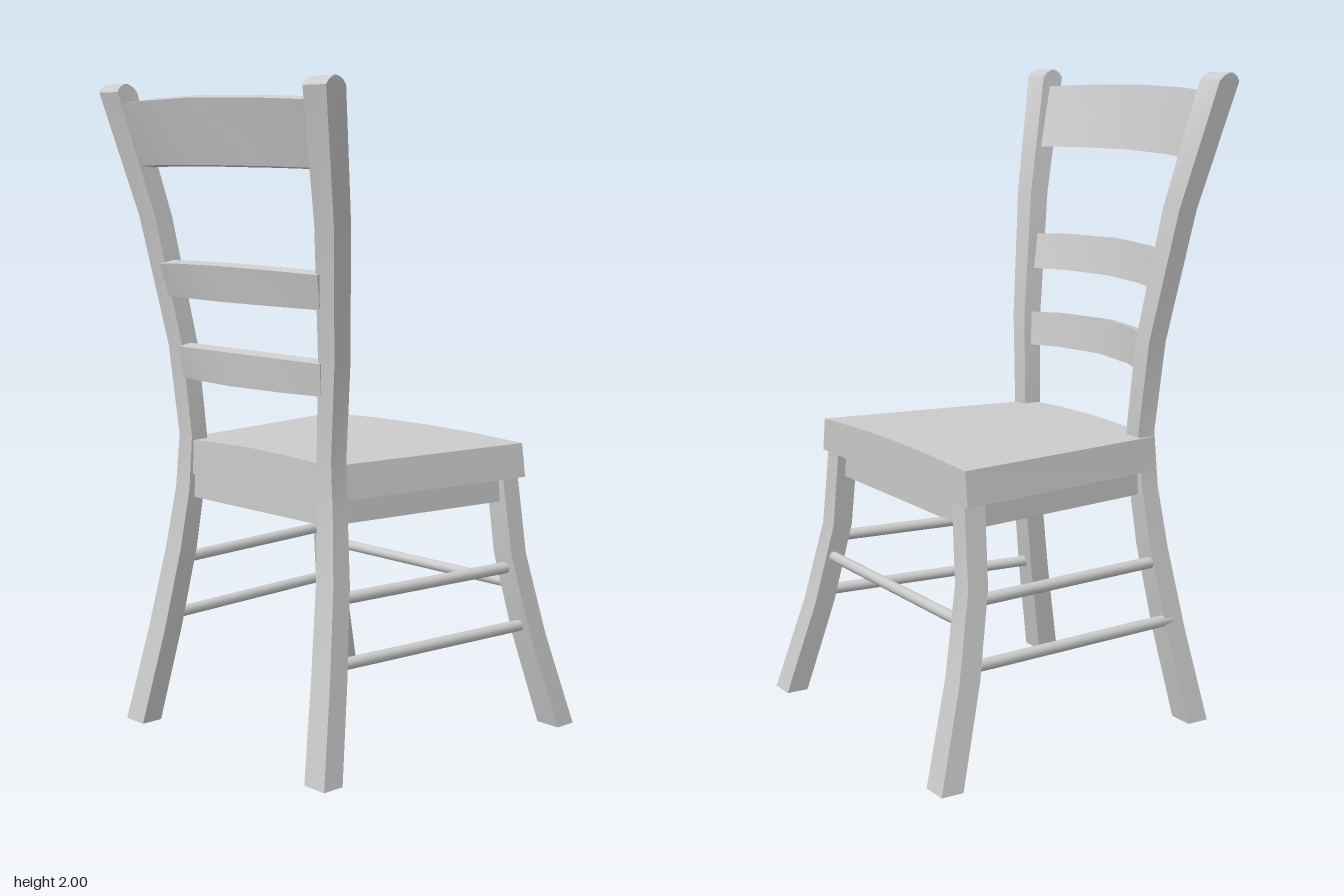
import * as THREE from 'three';
import { toCreasedNormals } from 'three/addons/utils/BufferGeometryUtils.js';

const grey = new THREE.MeshStandardMaterial({ color: 0xcccccc });
const V = (x, y, z) => new THREE.Vector3(x, y, z);

// Solid through a row of four-cornered cross-sections (counter-clockwise seen from the far end)
function loft(name, rings) {
  const p = [];
  const quad = (a, b, c, d) => [a, b, c, a, c, d].forEach(v => p.push(v.x, v.y, v.z));
  for (let i = 0; i < rings.length - 1; i++) {
    for (let j = 0; j < 4; j++) {
      const k = (j + 1) % 4;
      quad(rings[i][j], rings[i][k], rings[i + 1][k], rings[i + 1][j]);
    }
  }
  quad(...[...rings[0]].reverse());
  quad(...rings[rings.length - 1]);
  const geo = new THREE.BufferGeometry();
  geo.setAttribute('position', new THREE.Float32BufferAttribute(p, 3));
  const mesh = new THREE.Mesh(toCreasedNormals(geo, 0.5), grey);
  mesh.name = name;
  return mesh;
}

// Upright part from rows of [y, inner x, outer x, low z, high z]
function upright(name, side, shift, rows) {
  return loft(name, rows.map(([y, xi, xo, z0, z1]) => {
    const x0 = shift + (side > 0 ? xi : -xo);
    const x1 = shift + (side > 0 ? xo : -xi);
    return [V(x1, y, z1), V(x1, y, z0), V(x0, y, z0), V(x0, y, z1)];
  }));
}

// Tapered slab: half widths at front and back, for bottom and top, with a slight crown
function slab(name, y0, y1, zf, zb, bottom, top, crown) {
  const us = [-1, -0.5, 0, 0.5, 1];
  return loft(name, us.map(u => {
    const y = y1 + crown * (1 - u * u);
    return [V(u * top[1], y, zb), V(u * bottom[1], y0, zb),
      V(u * bottom[0], y0, zf), V(u * top[0], y, zf)];
  }));
}

// Bowed, leaning back rail
function rail(name, r) {
  return loft(name, [-1, -0.6, 0, 0.6, 1].map(u => {
    const bow = -r.bow * u * u;
    const xt = 0.01 + u * r.topHalf, xb = 0.01 + u * r.bottomHalf;
    const yt = r.y1 - r.drop * u * u, yb = r.y0 - r.drop * 0.5 * u * u;
    return [V(xt, yt - 0.008, r.zTop + bow), V(xb, yb, r.zBottom + bow),
      V(xb, yb - 0.005, r.zBottom - r.thick + bow), V(xt, yt, r.zTop - r.thick + bow)];
  }));
}

// Round stretcher between two points
function rod(name, a, b, radius = 0.018) {
  const mesh = new THREE.Mesh(new THREE.CylinderGeometry(radius, radius, a.distanceTo(b), 12), grey);
  mesh.position.copy(a).add(b).multiplyScalar(0.5);
  mesh.quaternion.setFromUnitVectors(V(0, 1, 0), b.clone().sub(a).normalize());
  mesh.name = name;
  return mesh;
}

export function createModel() {
  const chair = new THREE.Group();
  chair.name = 'chair';

  // Seat and the apron under it
  chair.add(slab('seat', 0.8, 0.904, -0.408, 0.318, [0.453, 0.355], [0.438, 0.345], 0.012));
  chair.add(slab('apron', 0.725, 0.81, -0.375, 0.31, [0.415, 0.325], [0.415, 0.325], 0));

  for (const side of [1, -1]) {
    const label = side > 0 ? 'left' : 'right';

    // Back leg running up into the back post, with a rounded top
    chair.add(upright(label + 'BackPost', side, 0.01, [
      [0, 0.383, 0.467, 0.388, 0.46],
      [0.3, 0.345, 0.425, 0.33, 0.398],
      [0.56, 0.316, 0.39, 0.288, 0.353],
      [0.75, 0.296, 0.364, 0.272, 0.331],
      [0.92, 0.288, 0.35, 0.265, 0.325],
      [1.2, 0.312, 0.38, 0.278, 0.34],
      [1.6, 0.362, 0.442, 0.335, 0.4],
      [1.975, 0.418, 0.512, 0.42, 0.493],
      [1.99, 0.419, 0.514, 0.433, 0.483],
      [2.0, 0.42, 0.515, 0.453, 0.466],
    ]));

    // Splayed front leg
    chair.add(upright(label + 'FrontLeg', side, 0, [
      [0, 0.458, 0.543, -0.552, -0.48],
      [0.3, 0.418, 0.497, -0.465, -0.396],
      [0.56, 0.384, 0.458, -0.411, -0.345],
      [0.81, 0.356, 0.425, -0.403, -0.335],
    ]));

    // Two side stretchers
    chair.add(rod(label + 'UpperStretcher', V(side * 0.365, 0.515, 0.325), V(side * 0.425, 0.515, -0.38)));
    chair.add(rod(label + 'LowerStretcher', V(side * 0.395, 0.33, 0.35), V(side * 0.455, 0.33, -0.425)));
  }

  // Front stretcher
  chair.add(rod('frontStretcher', V(-0.43, 0.455, -0.405), V(0.43, 0.455, -0.405), 0.017));

  // Three bowed back rails
  const rails = [
    { y0: 1.76, y1: 1.957, drop: 0.012, zTop: 0.555, zBottom: 0.502, thick: 0.043, bow: 0.075, topHalf: 0.43, bottomHalf: 0.4 },
    { y0: 1.363, y1: 1.477, drop: 0.012, zTop: 0.457, zBottom: 0.435, thick: 0.042, bow: 0.07, topHalf: 0.36, bottomHalf: 0.345 },
    { y0: 1.112, y1: 1.221, drop: 0.012, zTop: 0.415, zBottom: 0.405, thick: 0.042, bow: 0.07, topHalf: 0.325, bottomHalf: 0.315 },
  ];
  ['topRail', 'middleRail', 'lowerRail'].forEach((name, i) => chair.add(rail(name, rails[i])));

  return chair;
}
